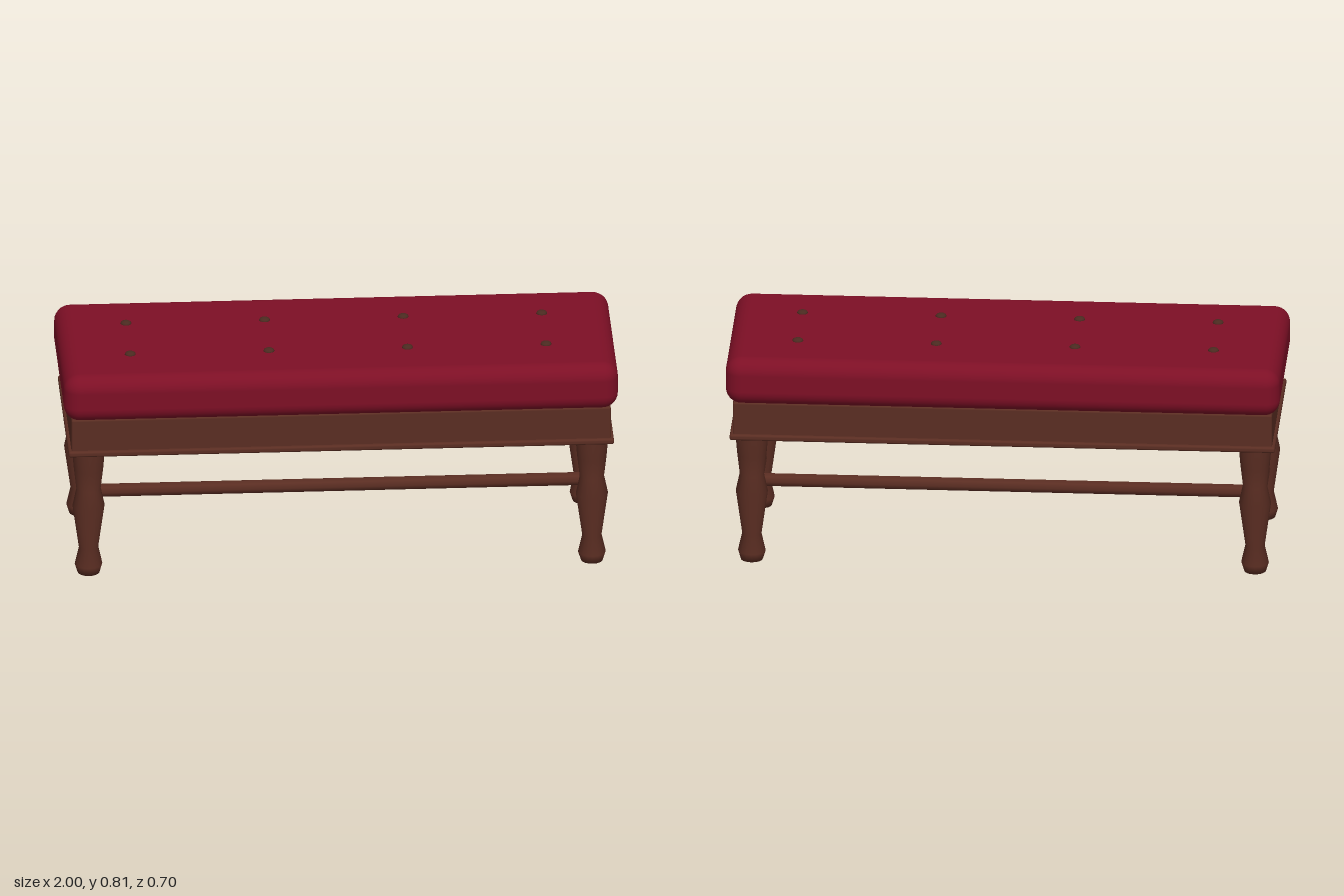
import * as THREE from 'three';
import { RoundedBoxGeometry } from 'three/addons/geometries/RoundedBoxGeometry.js';

export function createModel() {
  const model = new THREE.Group();
  model.name = 'upholsteredBench';

  const wood = new THREE.MeshStandardMaterial({ color: 0x5a2d22 });
  wood.name = 'dark wood';
  const fabric = new THREE.MeshStandardMaterial({ color: 0x7d0f25 });
  fabric.name = 'crimson fabric';
  const buttonBrown = new THREE.MeshStandardMaterial({ color: 0x4a2a20 });
  buttonBrown.name = 'button brown';

  function add(name, geometry, material, x, y, z) {
    const mesh = new THREE.Mesh(geometry, material);
    mesh.name = name;
    mesh.position.set(x, y, z);
    model.add(mesh);
    return mesh;
  }

  // Seat: cushion, apron and the moulding under it
  add('cushion', new RoundedBoxGeometry(2, 0.178, 0.7, 4, 0.058), fabric, 0, 0.711, 0);
  add('apron', new RoundedBoxGeometry(1.946, 0.14, 0.648, 2, 0.007), wood, 0, 0.56, 0);
  add('apronMoulding', new RoundedBoxGeometry(1.968, 0.022, 0.672, 2, 0.008), wood, 0, 0.498, 0);

  // Tufting buttons in two rows
  const buttonGeometry = new THREE.SphereGeometry(0.02, 12, 8);
  buttonGeometry.scale(1, 0.55, 1);
  for (const x of [-0.75, -0.25, 0.25, 0.75]) {
    for (const z of [-0.133, 0.133]) add('tuftButton', buttonGeometry, buttonBrown, x, 0.8, z);
  }

  // Turned legs
  const legProfile = [
    [0, 0], [0.04, 0], [0.05, 0.033], [0.035, 0.1], [0.058, 0.265],
    [0.044, 0.332], [0.053, 0.41], [0.059, 0.48], [0.059, 0.495], [0, 0.495],
  ].map(([r, y]) => new THREE.Vector2(r, y));
  const legGeometry = new THREE.LatheGeometry(legProfile, 16);
  for (const x of [-0.908, 0.908]) {
    for (const z of [-0.258, 0.258]) add('leg', legGeometry, wood, x, 0, z);
  }

  // H-shaped stretcher
  const sideGeometry = new THREE.CylinderGeometry(0.025, 0.025, 0.5, 8).rotateX(Math.PI / 2);
  for (const x of [-0.908, 0.908]) add('sideStretcher', sideGeometry, wood, x, 0.202, 0);
  const longGeometry = new THREE.CylinderGeometry(0.025, 0.025, 1.816, 8).rotateZ(Math.PI / 2);
  add('longStretcher', longGeometry, wood, 0, 0.202, 0);

  return model;
}
